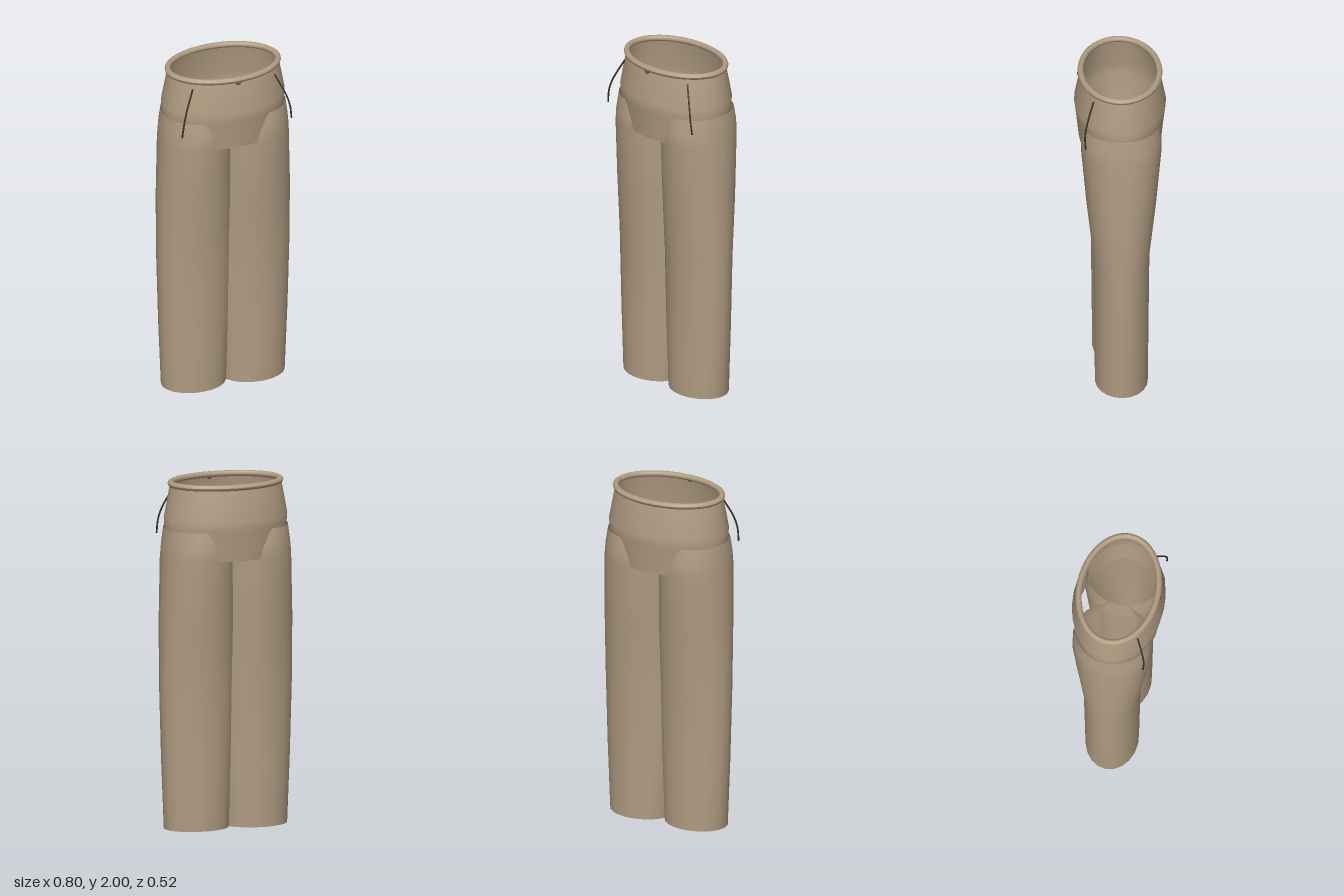
import * as THREE from 'three';

const fabric = new THREE.MeshStandardMaterial({ color: 0xb09c82, side: THREE.DoubleSide });
fabric.name = 'tan fabric';
const stitch = new THREE.MeshStandardMaterial({ color: 0x3a3229 });
stitch.name = 'dark stitching';
const buttonBrown = new THREE.MeshStandardMaterial({ color: 0x6e5f4d });
buttonBrown.name = 'button brown';

// Open smooth tube through elliptical rings given as [y, centreX, radiusX, radiusZ]
function loft(rings, sides) {
  const positions = [], index = [];
  for (const [y, cx, rx, rz] of rings) {
    for (let i = 0; i < sides; i++) {
      const a = (i / sides) * Math.PI * 2;
      positions.push(cx + rx * Math.cos(a), y, rz * Math.sin(a));
    }
  }
  for (let r = 0; r < rings.length - 1; r++) {
    for (let i = 0; i < sides; i++) {
      const a = r * sides + i, b = r * sides + (i + 1) % sides;
      index.push(a, a + sides, b, b, a + sides, b + sides);
    }
  }
  const geometry = new THREE.BufferGeometry();
  geometry.setAttribute('position', new THREE.Float32BufferAttribute(positions, 3));
  geometry.setIndex(index);
  geometry.computeVertexNormals();
  return geometry;
}

export function createModel() {
  const model = new THREE.Group();
  model.name = 'trousers';
  const add = (name, geometry, material) => {
    const mesh = new THREE.Mesh(geometry, material);
    mesh.name = name;
    model.add(mesh);
    return mesh;
  };

  // Hip section, open at the top and at the crotch
  add('hips', loft([
    [1.56, 0, 0.345, 0.235],
    [1.64, 0, 0.355, 0.243],
    [1.73, 0, 0.362, 0.253],
    [1.79, 0, 0.365, 0.261],
    [1.98, 0, 0.33, 0.225],
  ], 28), fabric);

  // Rolled waistband: a ring stretched into an oval with an even tube
  const waist = new THREE.TorusGeometry(1, 0.0175, 10, 48);
  waist.rotateX(Math.PI / 2);
  const p = waist.attributes.position;
  for (let i = 0; i < p.count; i++) {
    const x = p.getX(i), z = p.getZ(i), r = Math.hypot(x, z), off = r - 1;
    p.setX(i, (x / r) * (0.325 + off));
    p.setZ(i, (z / r) * (0.223 + off));
  }
  waist.computeVertexNormals();
  add('waistband', waist, fabric).position.y = 1.9825;

  // Front button
  const button = add('button', new THREE.SphereGeometry(0.017, 14, 10), buttonBrown);
  button.position.set(0, 1.97, 0.232);
  button.scale.z = 0.7;

  for (const [side, s] of [['left', 1], ['right', -1]]) {
    // Wide leg, open at both ends
    add(side + 'Leg', loft([
      [0, s * 0.18, 0.19, 0.15],
      [0.4, s * 0.18, 0.207, 0.154],
      [0.85, s * 0.18, 0.22, 0.159],
      [1.2, s * 0.18, 0.217, 0.197],
      [1.56, s * 0.18, 0.205, 0.228],
      [1.64, s * 0.18, 0.197, 0.228],
      [1.73, s * 0.18, 0.185, 0.212],
    ], 20), fabric);

    // Pocket seam
    const path = new THREE.CatmullRomCurve3([
      [0.25, 1.94, 0.16], [0.305, 1.82, 0.2], [0.325, 1.75, 0.212], [0.335, 1.67, 0.209],
    ].map(([x, y, z]) => new THREE.Vector3(s * x, y, z)));
    add(side + 'PocketSeam', new THREE.TubeGeometry(path, 16, 0.005, 6), stitch);
  }
  return model;
}
